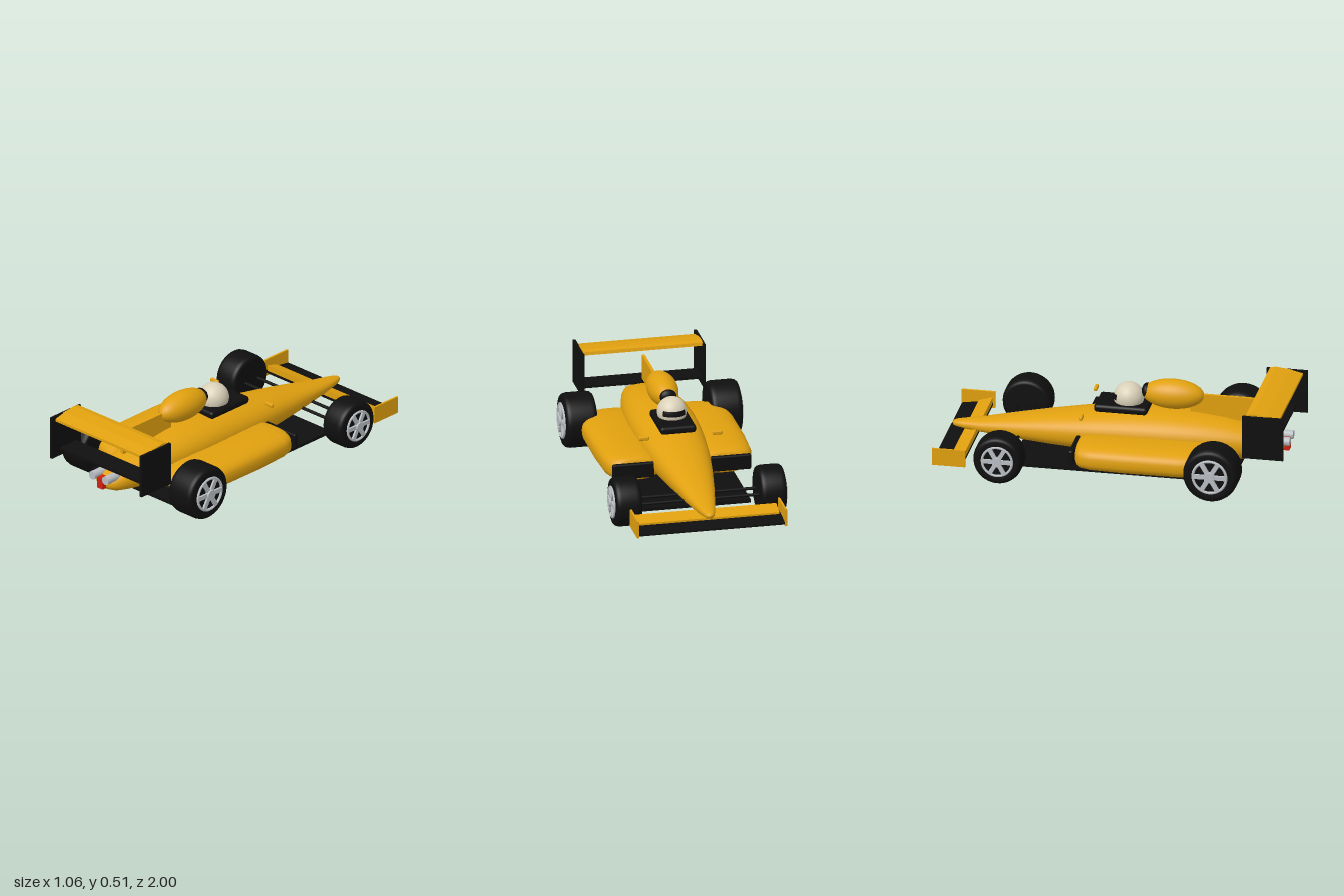
import * as THREE from 'three';
import { RoundedBoxGeometry } from 'three/addons/geometries/RoundedBoxGeometry.js';

const mat = (name, color) => {
  const m = new THREE.MeshStandardMaterial({ color });
  m.name = name;
  return m;
};

// Smooth skin through superellipse rings; station = [z, centreX, bottom, top, halfWidth]
function loft(stations, power, sides = 40) {
  const pos = [], idx = [];
  const bend = (v) => Math.sign(v) * Math.abs(v) ** (2 / power);
  stations.forEach(([z, cx, lo, hi, hw]) => {
    for (let j = 0; j < sides; j++) {
      const a = (j / sides) * Math.PI * 2;
      pos.push(cx + hw * bend(Math.cos(a)), (lo + hi) / 2 + ((hi - lo) / 2) * bend(Math.sin(a)), z);
    }
  });
  for (let i = 0; i < stations.length - 1; i++) {
    for (let j = 0; j < sides; j++) {
      const k = (j + 1) % sides;
      const a = i * sides + j, b = i * sides + k, c = b + sides, d = a + sides;
      idx.push(a, b, d, b, c, d);
    }
  }
  const g = new THREE.BufferGeometry();
  g.setAttribute('position', new THREE.Float32BufferAttribute(pos, 3));
  g.setIndex(idx);
  g.computeVertexNormals();
  return g;
}

// Wing of constant section; points are [z, y], spanning x
function wing(points, span) {
  const shape = new THREE.Shape(points.map(([z, y]) => new THREE.Vector2(z, y)));
  return new THREE.ExtrudeGeometry(shape, { depth: span, bevelEnabled: false })
    .rotateY(-Math.PI / 2).translate(span / 2, 0, 0);
}

export function createModel() {
  const car = new THREE.Group();
  car.name = 'racingCar';
  const yellow = mat('yellow paint', 0xe0a00f);
  const black = mat('black', 0x0f0f0f);
  const silver = mat('silver', 0xb9bec2);
  const cream = mat('cream', 0xd9d0b8);
  const red = mat('red', 0xd0200f);

  const add = (name, geo, material, x = 0, y = 0, z = 0, parent = car) => {
    const m = new THREE.Mesh(geo, material);
    m.name = name;
    m.position.set(x, y, z);
    parent.add(m);
    return m;
  };
  const box = (w, h, d) => new THREE.BoxGeometry(w, h, d);
  const rounded = (w, h, d, r) => new RoundedBoxGeometry(w, h, d, 3, r);
  const rod = (r, len) => new THREE.CylinderGeometry(r, r, len, 12).rotateZ(Math.PI / 2);

  // Hull from nose to tail
  add('hull', loft([
    [-0.968, 0, 0.147, 0.149, 0.001], [-0.962, 0, 0.133, 0.16, 0.017], [-0.945, 0, 0.128, 0.166, 0.028],
    [-0.9, 0, 0.122, 0.173, 0.042], [-0.8, 0, 0.112, 0.187, 0.064], [-0.6, 0, 0.098, 0.226, 0.105],
    [-0.4, 0, 0.085, 0.263, 0.14], [-0.2, 0, 0.076, 0.295, 0.17], [0, 0, 0.071, 0.319, 0.189],
    [0.15, 0, 0.07, 0.331, 0.197], [0.3, 0, 0.07, 0.335, 0.199], [0.45, 0, 0.072, 0.33, 0.19],
    [0.6, 0, 0.08, 0.313, 0.17], [0.72, 0, 0.09, 0.288, 0.146], [0.82, 0, 0.102, 0.258, 0.12],
    [0.89, 0, 0.116, 0.23, 0.096], [0.925, 0, 0.132, 0.21, 0.07], [0.938, 0, 0.148, 0.192, 0.04],
    [0.941, 0, 0.168, 0.172, 0.002]], 2.3), yellow);

  // Floor
  add('floor', box(0.64, 0.018, 1.27), black, 0, 0.058, 0.065);

  // Cockpit surround, helmet and visor
  add('cockpitSurround', rounded(0.21, 0.045, 0.305, 0.018), black, 0, 0.343, 0.015);
  add('helmet', new THREE.SphereGeometry(0.086, 32, 24), cream, 0, 0.39, 0.045);
  add('visor', new THREE.SphereGeometry(0.089, 20, 6, Math.PI * 1.5 - 0.85, 1.7, 1.25, 0.36), black, 0, 0.39, 0.045);

  // Engine air scoop and its fin
  add('airScoop', new THREE.SphereGeometry(1, 36, 24).scale(0.085, 0.085, 0.178), yellow, 0, 0.428, 0.298);
  add('scoopIntake', new THREE.SphereGeometry(1, 24, 16).scale(0.048, 0.042, 0.028), black, 0, 0.438, 0.148);
  add('engineFin', box(0.018, 0.14, 0.39), yellow, 0, 0.37, 0.595);

  // Front wing
  add('frontWingPlane', wing([[-0.998, 0.075], [-0.82, 0.085], [-0.82, 0.1], [-0.9, 0.1], [-0.998, 0.085]], 0.85), black);
  add('frontWingFlap', wing([[-0.9, 0.101], [-0.82, 0.101], [-0.82, 0.137], [-0.9, 0.112]], 0.82), yellow);

  // Rear wing
  add('rearWingPlane', wing([[0.78, 0.468], [0.785, 0.486], [0.82, 0.491], [0.9, 0.482], [0.973, 0.465],
    [0.973, 0.45], [0.88, 0.454], [0.81, 0.456]], 0.69), yellow);
  add('rearWingBeam', box(0.69, 0.014, 0.13), black, 0, 0.266, 0.87);

  // Tail light
  add('tailLight', box(0.043, 0.066, 0.05), red, 0, 0.178, 0.943);

  // Tyre with rounded shoulders and a shallow recessed outer face
  const wheel = (name, side, x, r, width, z) => {
    const g = new THREE.Group();
    g.name = name;
    g.position.set(side * x, r, z);
    g.rotation.y = side > 0 ? 0 : Math.PI;
    car.add(g);
    const h = width / 2, rim = r * 0.64;
    const profile = [[0, -h], [r * 0.83, -h], [r * 0.91, -h + 0.003], [r * 0.97, -h + 0.013], [r, -h + 0.032],
      [r, h - 0.032], [r * 0.97, h - 0.013], [r * 0.91, h - 0.003], [r * 0.83, h], [rim, h],
      [rim * 0.98, h - 0.004], [0, h - 0.004]].map(([a, b]) => new THREE.Vector2(a, b));
    add('tyre', new THREE.LatheGeometry(profile, 48).rotateZ(-Math.PI / 2), black, 0, 0, 0, g);
    add('rimRing', new THREE.TorusGeometry(rim * 0.95, rim * 0.08, 10, 40).rotateY(Math.PI / 2), silver, h + 0.002, 0, 0, g);
    add('hub', rod(rim * 0.3, 0.026), silver, h + 0.008, 0, 0, g);
    for (let i = 0; i < 6; i++) {
      const spoke = new THREE.BoxGeometry(0.012, rim * 0.92, rim * 0.26).translate(0, rim * 0.46, 0)
        .rotateX((i / 6) * Math.PI * 2 + Math.PI / 6);
      add('spoke', spoke, silver, h + 0.004, 0, 0, g);
    }
  };

  // Mirrored parts
  for (const s of [-1, 1]) {
    const pod = [[-0.2, 0.145, 0.155, 0.14, 0.3], [-0.198, 0.1, 0.2, 0.14, 0.35], [-0.185, 0.088, 0.213, 0.13, 0.385],
      [-0.16, 0.08, 0.222, 0.12, 0.41], [-0.1, 0.076, 0.228, 0.12, 0.428], [0.1, 0.074, 0.232, 0.11, 0.437],
      [0.4, 0.075, 0.231, 0.1, 0.436], [0.5, 0.08, 0.226, 0.1, 0.422], [0.57, 0.088, 0.217, 0.1, 0.398],
      [0.62, 0.1, 0.204, 0.1, 0.358], [0.645, 0.118, 0.188, 0.1, 0.31], [0.655, 0.15, 0.156, 0.14, 0.24]];
    add('sidePod', loft(pod.map(([z, lo, hi, xi, xo]) => [z, (s * (xi + xo)) / 2, lo, hi, (xo - xi) / 2]), 2.7), yellow);
    add('podIntake', rounded(0.24, 0.09, 0.028, 0.01), black, s * 0.28, 0.155, -0.213);
    add('mirror', rounded(0.06, 0.024, 0.02, 0.008), yellow, s * 0.214, 0.333, -0.185);

    add('frontWingEndPlate', box(0.012, 0.1, 0.19), yellow, s * 0.427, 0.115, -0.905);
    add('rearWingEndPlate', box(0.016, 0.255, 0.236), black, s * 0.35, 0.352, 0.882);
    add('exhaust', new THREE.CylinderGeometry(0.025, 0.025, 0.12, 24).rotateX(Math.PI / 2), silver, s * 0.051, 0.213, 0.918);

    // Suspension arms
    for (const z of [-0.667, -0.57]) add('frontArm', rod(0.009, 0.34), black, s * 0.2, 0.135, z);
    for (const z of [0.56, 0.665]) add('rearArm', rod(0.008, 0.28), black, s * 0.23, 0.128, z);

    wheel('rearWheel', s, 0.419, 0.157, 0.178, 0.608);
    wheel('frontWheel', s, 0.418, 0.141, 0.148, -0.615);
  }
  return car;
}
